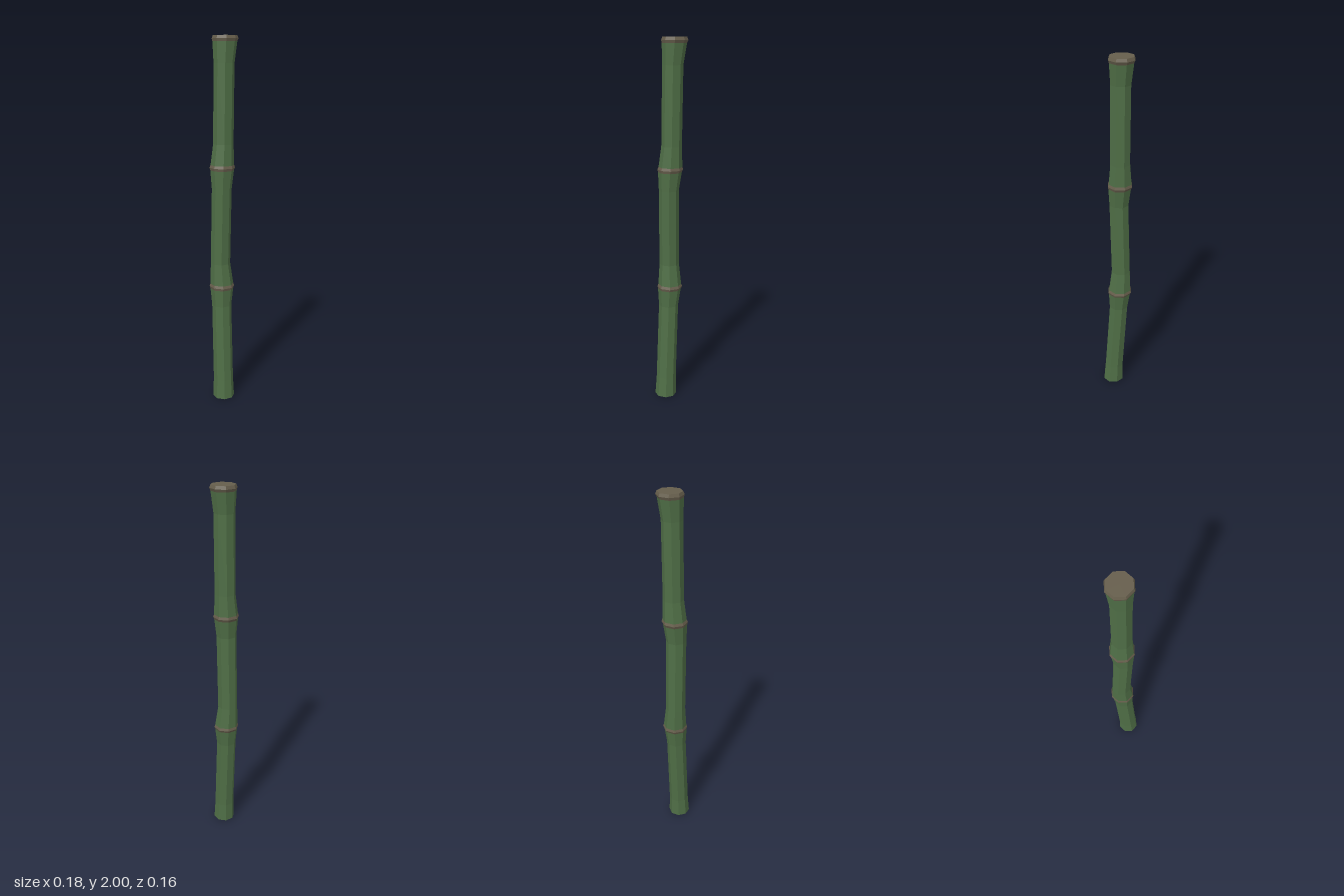
import * as THREE from 'three';

const SIDES = 8;
const green = new THREE.MeshStandardMaterial({ color: 0x4f6e46, flatShading: true });
const brown = new THREE.MeshStandardMaterial({ color: 0x665e4c, flatShading: true });

// Skin a stack of octagonal rings [y, centreX, centreZ, radius]; a zero radius closes an end.
function loft(name, rings, material) {
  const positions = [];
  const index = [];
  rings.forEach(([y, cx, cz, r], k) => {
    for (let i = 0; i < SIDES; i++) {
      const a = (i / SIDES) * Math.PI * 2;
      positions.push(cx + r * Math.cos(a), y, cz + r * Math.sin(a));
      if (k === 0) continue;
      const j = (i + 1) % SIDES;
      const low = (k - 1) * SIDES;
      const high = k * SIDES;
      if (r > 0) index.push(low + i, high + i, high + j);
      if (rings[k - 1][3] > 0) index.push(low + i, high + j, low + j);
    }
  });
  const indexed = new THREE.BufferGeometry();
  indexed.setAttribute('position', new THREE.Float32BufferAttribute(positions, 3));
  indexed.setIndex(index);
  const geometry = indexed.toNonIndexed();
  geometry.computeVertexNormals();
  const mesh = new THREE.Mesh(geometry, material);
  mesh.name = name;
  return mesh;
}

export function createModel() {
  const group = new THREE.Group();
  group.name = 'bambooStalk';

  // Joint bands: lower edge, bulge, upper edge
  const lowerJoint = [[0.635, -0.008, -0.007, 0.064], [0.648, -0.006, -0.008, 0.069], [0.662, -0.006, -0.009, 0.064]];
  const upperJoint = [[1.3, -0.005, -0.007, 0.064], [1.314, -0.003, -0.008, 0.069], [1.328, -0.002, -0.008, 0.064]];
  const topJoint = [[1.97, 0.018, -0.007, 0.065], [1.984, 0.02, -0.007, 0.07], [2, 0.02, -0.007, 0.064]];

  // Green stem segments, each narrowing between its joints
  group.add(loft('lowerSegment', [
    [0, -0.03, 0.023, 0], [0, -0.03, 0.023, 0.06], [0.11, -0.027, 0.019, 0.055],
    [0.54, -0.013, -0.004, 0.054], lowerJoint[0],
  ], green));
  group.add(loft('middleSegment', [
    lowerJoint[2], [0.78, -0.009, -0.016, 0.054], [1.2, -0.011, -0.005, 0.054], upperJoint[0],
  ], green));
  group.add(loft('upperSegment', [
    upperJoint[2], [1.44, 0.004, -0.006, 0.055], [1.86, 0.01, -0.006, 0.055], topJoint[0],
  ], green));

  // Brown joints, the last one closed by the cut top
  group.add(loft('lowerJoint', lowerJoint, brown));
  group.add(loft('upperJoint', upperJoint, brown));
  group.add(loft('topJoint', [...topJoint, [2, 0.02, -0.007, 0]], brown));

  return group;
}
